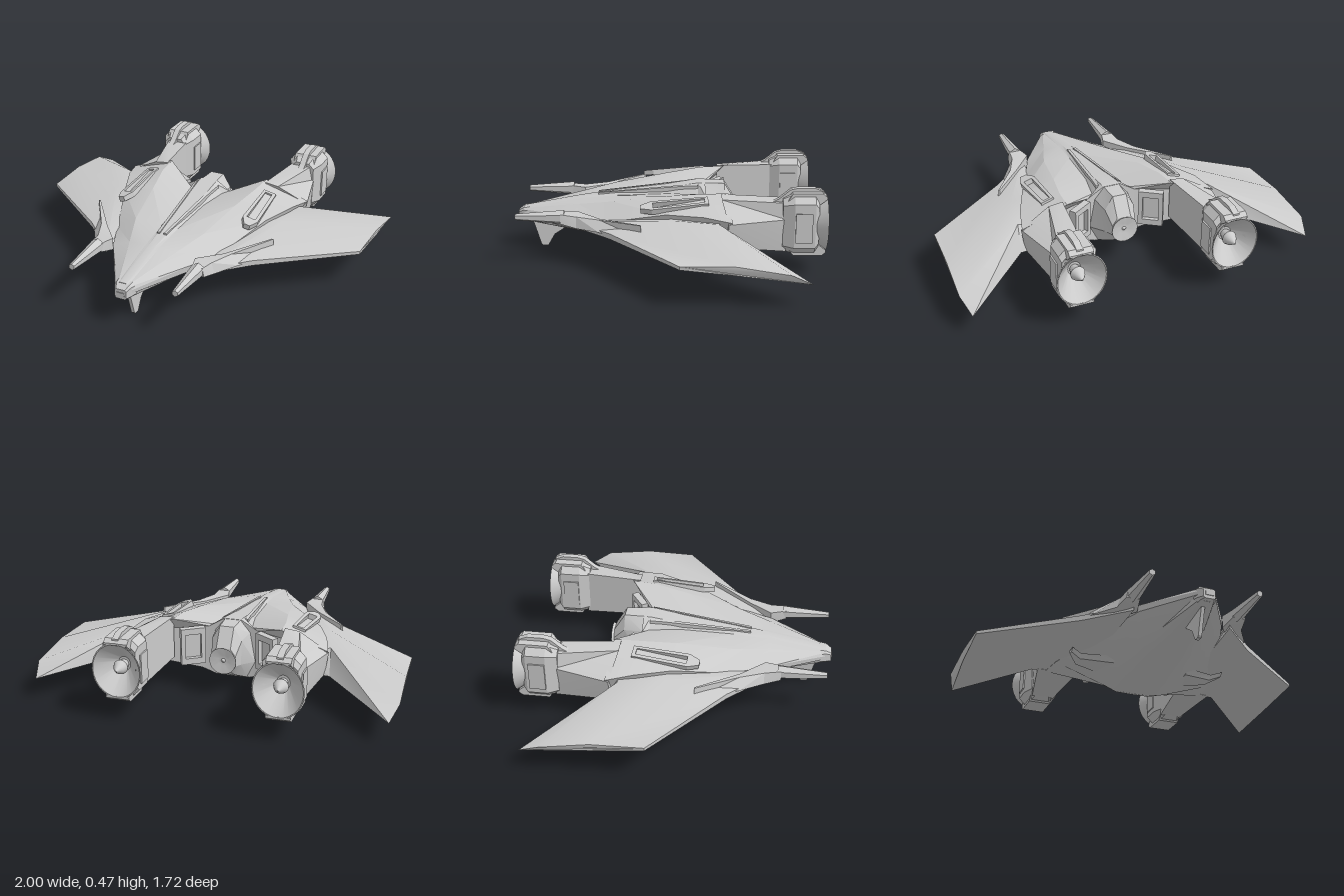
import * as THREE from 'three';
import { toCreasedNormals } from 'three/addons/utils/BufferGeometryUtils.js';

const material = new THREE.MeshStandardMaterial({ color: 0xcccccc, side: THREE.DoubleSide });

function add(parent, name, geometry) {
  const mesh = new THREE.Mesh(geometry, material);
  mesh.name = name;
  parent.add(mesh);
  return mesh;
}

// Closed hull through rings of [x, y, z] points, capped at both ends
function loft(rings, crease = 0.4) {
  const n = rings[0].length;
  const pts = rings.flat().map((p) => new THREE.Vector3(...p));
  const tris = [];
  for (let r = 0; r < rings.length - 1; r++) {
    for (let i = 0; i < n; i++) {
      const a = r * n + i, b = r * n + (i + 1) % n;
      tris.push([a, b, b + n], [a, b + n, a + n]);
    }
  }
  const last = (rings.length - 1) * n;
  for (let i = 1; i < n - 1; i++) tris.push([0, i + 1, i], [last, last + i, last + i + 1]);
  // Turn all faces outward
  const cross = new THREE.Vector3();
  const volume = tris.reduce((v, [a, b, c]) => v + pts[a].dot(cross.crossVectors(pts[b], pts[c])), 0);
  const order = volume < 0 ? tris.map(([a, b, c]) => [a, c, b]) : tris;
  const geometry = new THREE.BufferGeometry().setFromPoints(order.flat().map((i) => pts[i]));
  geometry.computeVertexNormals();
  return toCreasedNormals(geometry, crease);
}

// Chamfered rectangular ring at depth z
function octagon(cx, cy, hx, hy, c, z) {
  return [[hx, hy - c], [hx - c, hy], [c - hx, hy], [-hx, hy - c],
    [-hx, c - hy], [c - hx, -hy], [hx - c, -hy], [hx, c - hy]].map(([x, y]) => [cx + x, cy + y, z]);
}

// Half hull ring: valley, hump, upper chine, lower chine and belly side,
// then the flat keel and the flat spine back to the start
function hullRing(z, keelY, spineY, spineHalf, ...outline) {
  const bellyX = outline[4][0];
  return [...outline, [bellyX * 0.55, keelY + 0.002], [0, keelY], [0, spineY], [spineHalf, spineY]]
    .map(([x, y, own = z]) => [x, y, own]);
}

// Side profile of [z, y] points, given a thickness across x
function sidePlate(profile, x, thickness) {
  const shape = new THREE.Shape(profile.map((p) => new THREE.Vector2(...p)));
  return new THREE.ExtrudeGeometry(shape, { depth: thickness, bevelEnabled: false })
    .rotateY(-Math.PI / 2).translate(x + thickness / 2, 0, 0);
}

// Flat frame: outline with a hole
function frame(outer, inner, depth) {
  const shape = new THREE.Shape(outer.map((p) => new THREE.Vector2(...p)));
  shape.holes.push(new THREE.Path(inner.map((p) => new THREE.Vector2(...p))));
  return new THREE.ExtrudeGeometry(shape, { depth, bevelEnabled: false });
}

const rect = (w, h) => [[-w, -h], [w, -h], [w, h], [-w, h]];

// Lathe about the z axis, profile of [radius, distance aft]
function aftLathe(profile, sides) {
  const lathe = new THREE.LatheGeometry(profile.map((p) => new THREE.Vector2(...p)), sides);
  return toCreasedNormals(lathe.rotateX(-Math.PI / 2), 0.5);
}

function buildEngine(side) {
  const engine = new THREE.Group();
  engine.name = 'engine';
  side.add(engine);
  add(engine, 'engineBoom', loft([
    [[0.32, 0.40, -0.3], [0.40, 0.39, -0.3], [0.57, 0.30, -0.33], [0.55, 0.17, -0.33], [0.32, 0.16, -0.3]],
    [[0.36, 0.395, -0.64], [0.48, 0.395, -0.64], [0.50, 0.31, -0.64], [0.49, 0.13, -0.64], [0.36, 0.13, -0.64]],
  ]));
  // Housing, hollowed at the back for the nozzle funnel
  add(engine, 'engineHousing', loft([
    octagon(0.43, 0.275, 0.07, 0.14, 0.03, -0.62),
    octagon(0.43, 0.28, 0.1, 0.165, 0.045, -0.68),
    octagon(0.43, 0.28, 0.1, 0.165, 0.045, -0.79),
    octagon(0.43, 0.28, 0.09, 0.14, 0.045, -0.81),
    octagon(0.43, 0.28, 0.03, 0.03, 0.01, -0.735),
  ]));
  // Flared open nozzle with a central spike
  const nozzle = add(engine, 'engineNozzle', aftLathe(
    [[0.09, 0.785], [0.136, 0.855], [0.13, 0.855], [0.035, 0.745], [0, 0.745]], 28));
  nozzle.position.set(0.43, 0.28, 0);
  nozzle.scale.y = 1.12;
  const spike = add(engine, 'nozzleSpike', aftLathe([[0.025, 0.745], [0.04, 0.795], [0.03, 0.82], [0, 0.865]], 16));
  spike.position.set(0.43, 0.28, 0);
  // Blocks above and below the nozzle, strap over the top
  add(engine, 'topBlock', sidePlate([[-0.62, 0.37], [-0.67, 0.45], [-0.83, 0.45], [-0.853, 0.43],
    [-0.853, 0.42], [-0.80, 0.38]], 0.43, 0.13));
  add(engine, 'bottomBlock', sidePlate([[-0.64, 0.16], [-0.68, 0.108], [-0.83, 0.108], [-0.853, 0.125],
    [-0.853, 0.138], [-0.80, 0.18]], 0.43, 0.13));
  add(engine, 'topStrap', sidePlate([[-0.54, 0.38], [-0.6, 0.41], [-0.66, 0.46], [-0.70, 0.47],
    [-0.79, 0.47], [-0.84, 0.45], [-0.84, 0.42], [-0.7, 0.38]], 0.435, 0.035));
  for (const x of [0.33, 0.53]) {
    add(engine, 'flankPad', new THREE.BoxGeometry(0.016, 0.16, 0.09)).position.set(x, 0.27, -0.73);
  }
}

function buildSide() {
  const side = new THREE.Group();

  add(side, 'hull', loft([
    hullRing(0.82, 0.16, 0.24, 0.02, [0.03, 0.235], [0.04, 0.228], [0.05, 0.21], [0.05, 0.19], [0.04, 0.165]),
    hullRing(0.5, 0.107, 0.30, 0.02, [0.04, 0.295], [0.14, 0.29], [0.245, 0.245], [0.24, 0.21], [0.12, 0.13]),
    hullRing(0.3, 0.086, 0.33, 0.03, [0.05, 0.315], [0.21, 0.325], [0.33, 0.245], [0.32, 0.20], [0.17, 0.11]),
    hullRing(0, 0.058, 0.36, 0.045, [0.065, 0.33], [0.26, 0.37], [0.45, 0.32], [0.42, 0.18], [0.19, 0.08]),
    hullRing(-0.18, 0.04, 0.39, 0.05, [0.10, 0.335], [0.30, 0.395, -0.2], [0.53, 0.33, -0.2],
      [0.48, 0.17, -0.2], [0.18, 0.06]),
    hullRing(-0.22, 0.05, 0.39, 0.05, [0.14, 0.335], [0.31, 0.40, -0.34], [0.57, 0.31, -0.35],
      [0.5, 0.17, -0.35], [0.18, 0.08]),
  ]));

  // Wing: leading edge, crest, rear crest, trailing edge, underside, lower leading edge
  add(side, 'wing', loft([
    [[0.28, 0.23, 0.52], [0.30, 0.27, 0], [0.40, 0.28, -0.30],
      [0.42, 0.17, -0.34], [0.3, 0.165, 0.1], [0.28, 0.20, 0.52]],
    [[0.5, 0.23, 0.30], [0.53, 0.312, -0.05], [0.57, 0.305, -0.28],
      [0.58, 0.17, -0.35], [0.52, 0.175, 0], [0.5, 0.20, 0.30]],
    [[0.98, 0.218, -0.07], [0.99, 0.22, -0.35], [1, 0.18, -0.62],
      [0.965, 0.12, -0.73], [0.98, 0.165, -0.4], [0.98, 0.20, -0.07]],
  ], 0.7));

  // Forward cannon and the narrow blade running back from it
  add(side, 'cannonBarrel', new THREE.CylinderGeometry(0.018, 0.04, 0.27, 6).toNonIndexed()
    .rotateX(Math.PI / 2).translate(0.303, 0.262, 0.695)).geometry.computeVertexNormals();
  add(side, 'cannonBlade', loft([
    [[0.275, 0.285, 0.58], [0.335, 0.285, 0.58], [0.345, 0.235, 0.58], [0.27, 0.235, 0.58]],
    [[0.25, 0.28, 0.49], [0.345, 0.275, 0.49], [0.365, 0.215, 0.49], [0.25, 0.21, 0.49]],
    [[0.36, 0.27, 0.36], [0.40, 0.275, 0.36], [0.45, 0.22, 0.36], [0.35, 0.2, 0.36]],
    [[0.54, 0.29, 0.13], [0.55, 0.29, 0.13], [0.555, 0.22, 0.13], [0.535, 0.2, 0.13]],
  ]));

  // Raised vent frame on the outer slope
  const vent = new THREE.Group();
  vent.name = 'vent';
  vent.position.set(0.378, 0.348, -0.05);
  vent.rotation.set(0.1, 0.05, -0.26);
  side.add(vent);
  add(vent, 'ventFrame', frame(
    [[-0.045, -0.13], [-0.015, -0.19], [0.02, -0.19], [0.045, -0.13], [0.045, 0.18], [-0.03, 0.18]],
    [[-0.025, -0.12], [0.025, -0.12], [0.025, 0.16], [-0.015, 0.16]], 0.03)
    .rotateX(-Math.PI / 2).translate(0, -0.01, 0));

  // Rib beside the spine slot
  add(side, 'spineRib', loft([
    [[0.012, 0.325, 0.39], [0.028, 0.325, 0.39], [0.028, 0.30, 0.39], [0.012, 0.30, 0.39]],
    [[0.05, 0.378, -0.1], [0.066, 0.374, -0.1], [0.066, 0.33, -0.1], [0.05, 0.33, -0.1]],
    [[0.06, 0.388, -0.18], [0.075, 0.38, -0.18], [0.075, 0.33, -0.18], [0.06, 0.33, -0.18]],
  ]));

  // Framed panel on the angled rear wall
  const panel = new THREE.Group();
  panel.name = 'rearPanel';
  panel.position.set(0.225, 0.235, -0.27);
  panel.rotation.y = Math.atan2(-0.55, -0.83);
  side.add(panel);
  add(panel, 'panelFrame', frame(rect(0.07, 0.105), rect(0.045, 0.07), 0.04));
  add(panel, 'panelInset', new THREE.BoxGeometry(0.1, 0.15, 0.02)).position.z = 0.005;

  // Small swept fin below the wing root
  add(side, 'bellyFin', loft([
    [[0.22, 0.125, 0.1], [0.22, 0.125, -0.14], [0.22, 0.10, -0.12], [0.22, 0.10, 0.06]],
    [[0.40, 0.145, 0.02], [0.40, 0.145, -0.09], [0.40, 0.12, -0.08], [0.40, 0.12, 0]],
    [[0.46, 0.16, 0.05], [0.46, 0.16, -0.01], [0.46, 0.14, 0], [0.46, 0.14, 0.03]],
  ]));

  buildEngine(side);
  return side;
}

export function createModel() {
  const ship = new THREE.Group();
  ship.name = 'spacecraft';

  const left = buildSide();
  left.name = 'leftSide';
  const right = buildSide();
  right.name = 'rightSide';
  right.scale.x = -1;
  ship.add(left, right);

  // Nose block and grille
  add(ship, 'nose', loft([
    octagon(0, 0.2, 0.06, 0.042, 0.018, 0.79),
    octagon(0, 0.2, 0.05, 0.038, 0.012, 0.82),
    octagon(0, 0.19, 0.034, 0.028, 0.008, 0.852),
  ]));
  add(ship, 'noseGrille', new THREE.BoxGeometry(0.045, 0.02, 0.01)).position.set(0, 0.19, 0.851);

  // Keel fin under the nose
  add(ship, 'keelFin', sidePlate([[0.78, 0.17], [0.76, 0.11], [0.73, 0.01], [0.72, 0], [0.69, 0],
    [0.65, 0.07], [0.58, 0.115], [0.58, 0.17]], 0, 0.02));

  // Tail cone and its small nozzle
  const tailRing = (z, ...half) => [...half, ...half.slice().reverse().map(([x, y]) => [-x, y])]
    .map(([x, y]) => [x, y, z]);
  add(ship, 'tailCone', loft([
    tailRing(-0.14, [0.045, 0.38], [0.10, 0.32], [0.13, 0.15], [0.08, 0.05]),
    tailRing(-0.22, [0.045, 0.388], [0.10, 0.32], [0.13, 0.15], [0.08, 0.052]),
    tailRing(-0.33, [0.04, 0.385], [0.085, 0.31], [0.08, 0.17], [0.045, 0.105]),
    tailRing(-0.395, [0.04, 0.28], [0.068, 0.24], [0.065, 0.18], [0.035, 0.15]),
  ]));
  add(ship, 'tailNozzle', aftLathe(
    [[0.05, 0.36], [0.076, 0.41], [0.07, 0.41], [0.03, 0.397], [0.012, 0.397], [0, 0.412]], 20)).position.y = 0.212;

  return ship;
}
